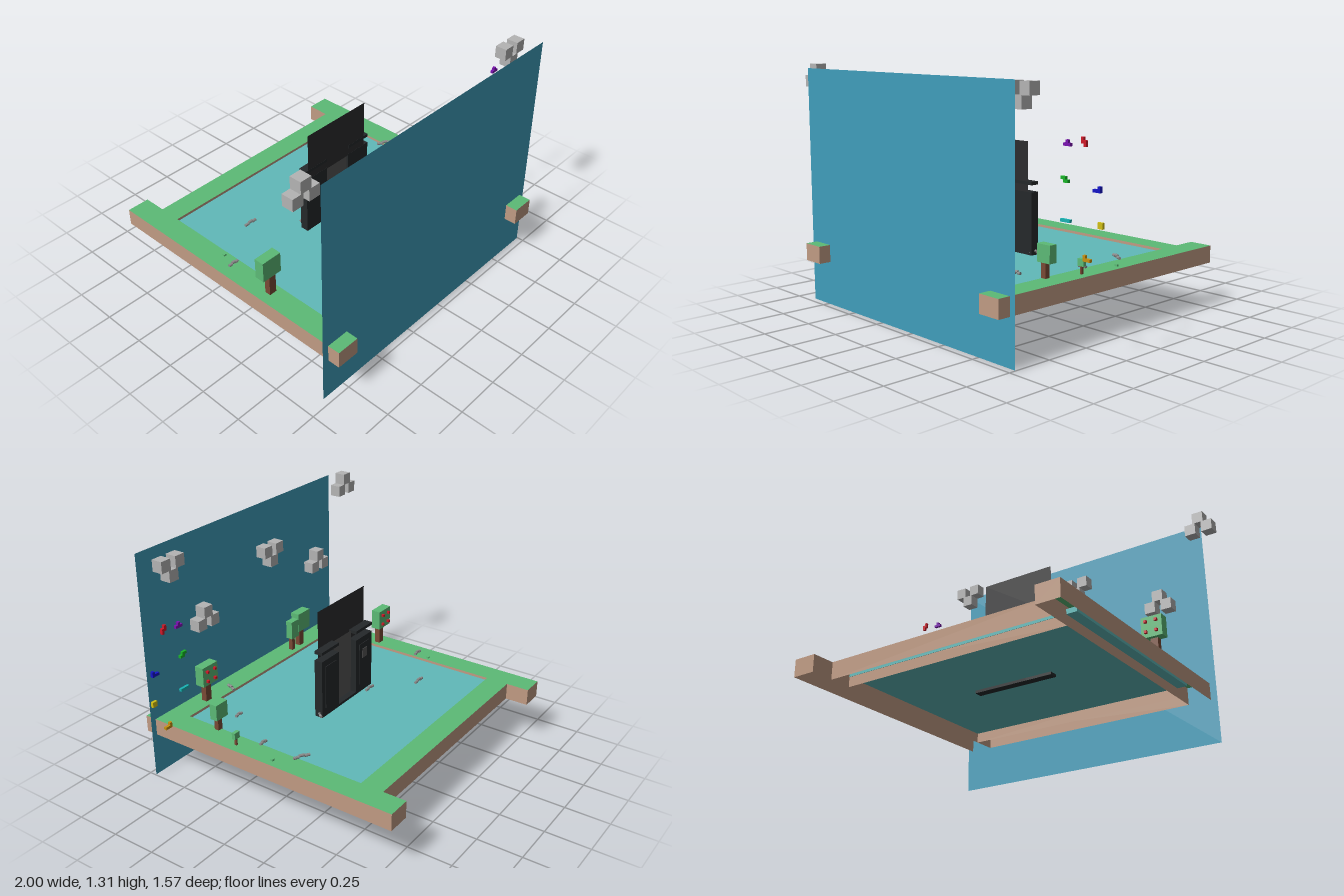
import * as THREE from 'three';

const mat = (color, double = false) => new THREE.MeshStandardMaterial({
  color, flatShading: true, side: double ? THREE.DoubleSide : THREE.FrontSide,
});
const M = {
  grey: mat(0xb4b4b4), stone: mat(0x8c8c8c), soil: mat(0xc09b83, true), grass: mat(0x5cba76, true),
  leaf: mat(0x5cba76), bark: mat(0x7a4a35), apple: mat(0xd01828), water: mat(0x60b9b9, true),
  sky: mat(0x409ebb, true), black: mat(0x25282a), panel: mat(0x2c2c2e, true), door: mat(0x555555, true),
};

export function createModel() {
  const root = new THREE.Group();

  const group = (name, parent = root) => {
    const g = new THREE.Group();
    g.name = name;
    parent.add(g);
    return g;
  };
  // Box given by its limits along each axis
  const box = (name, m, [x0, x1], [y0, y1], [z0, z1], parent = root) => {
    const b = new THREE.Mesh(new THREE.BoxGeometry(x1 - x0, y1 - y0, z1 - z0), m);
    b.position.set((x0 + x1) / 2, (y0 + y1) / 2, (z0 + z1) / 2);
    b.name = name;
    parent.add(b);
    return b;
  };
  // Upright sheet facing z
  const sheet = (name, m, [x0, x1], [y0, y1], z, parent = root) => {
    const s = new THREE.Mesh(new THREE.PlaneGeometry(x1 - x0, y1 - y0), m);
    s.position.set((x0 + x1) / 2, (y0 + y1) / 2, z);
    s.name = name;
    parent.add(s);
  };

  // Backdrop
  sheet('skyBackdrop', M.sky, [-0.89, 0.745], [0, 1.29], 0.712);

  // Bank around the pond: hollow bars with soil sides and a grass top, open below
  const bank = (name, xs, zs) => {
    const g = group(name);
    const sides = box('soilSides', M.soil, xs, [0.24, 0.335], zs, g);
    const top = box('grassTop', M.grass, xs, [0.24, 0.335], zs, g);
    const idx = Array.from(sides.geometry.index.array);
    sides.geometry.setIndex([...idx.slice(0, 12), ...idx.slice(24)]);
    top.geometry.setIndex(idx.slice(12, 18));
    sides.geometry.clearGroups();
    top.geometry.clearGroups();
  };
  bank('rightBank', [-0.853, -0.725], [-0.785, 0.78]);
  bank('leftBank', [0.583, 0.712], [-0.785, 0.78]);
  bank('backBank', [-0.725, 0.583], [-0.655, -0.528]);
  bank('frontBank', [-0.725, 0.583], [0.583, 0.711]);

  // Pond
  box('water', M.water, [-0.78, 0.64], [0.295, 0.32], [-0.53, 0.585]);

  // Gate in the middle of the pond
  const gate = group('gate');
  for (const [x0, x1] of [[-0.305, -0.15], [0.015, 0.17]]) {
    box('pillar', M.black, [x0, x1], [0.28, 0.657], [0, 0.048], gate);
    box('pillarCap', M.black, [x0, x1], [0.695, 0.712], [0, 0.048], gate);
    box('pillarInset', M.black, [x0 + 0.03, x1 - 0.03], [0.37, 0.62], [-0.004, 0.002], gate);
  }
  box('pillarWindow', M.door, [-0.25, -0.205], [0.53, 0.585], [-0.007, 0], gate);
  box('threshold', M.black, [-0.15, 0.015], [0.28, 0.335], [0, 0.048], gate);
  sheet('door', M.door, [-0.15, 0.015], [0.33, 0.71], 0.035, gate);
  sheet('gateScreen', M.panel, [-0.29, 0.14], [0.65, 0.924], 0.047, gate);

  // Clouds: three cubes, the middle one above or below the outer two
  const cloud = (x, y, z, up) => {
    const g = group('cloud'), s = 0.063;
    [-0.049, 0, 0.049].forEach((dx, i) => {
      const dy = (i === 1) === up ? s / 2 : -s / 2;
      box('cloudCube', M.grey, [x + dx - s / 2, x + dx + s / 2],
        [y + dy - s / 2, y + dy + s / 2], [z - s / 2, z + s / 2], g);
    });
  };
  cloud(-0.92, 1.248, 0.628, true);
  cloud(-0.64, 0.84, 0.628, true);
  cloud(0.37, 0.84, 0.628, true);
  cloud(-0.14, 1.04, 0.58, false);
  cloud(0.65, 1.215, 0.58, false);

  // Trees: a 2 x 2 crown of cubes on a square trunk, some with fruit on the back
  const tree = (x, z, w, y0, y1, d, fruit) => {
    const g = group('tree'), h = (y1 - y0) / 2, t = w * 0.18;
    for (const sx of [-1, 0]) for (const sy of [0, 1]) {
      box('crown', M.leaf, [x + sx * w / 2, x + (sx + 1) * w / 2],
        [y0 + sy * h, y0 + (sy + 1) * h], [z - d / 2, z + d / 2], g);
      if (!fruit) continue;
      const ax = x + (sx + 0.5) * w / 2, ay = y0 + (sy + 0.5) * h;
      box('apple', M.apple, [ax - 0.007, ax + 0.007], [ay - 0.007, ay + 0.007],
        [z - d / 2 - 0.015, z - d / 2], g);
    }
    box('trunk', M.bark, [x - t, x + t], [0.33, y0], [z - d * 0.1, z + d * 0.5], g);
  };
  tree(-0.777, 0.241, 0.117, 0.445, 0.56, 0.056, true);
  tree(0.39, 0.622, 0.117, 0.445, 0.56, 0.056, true);
  tree(-0.465, 0.624, 0.11, 0.445, 0.56, 0.056, false);
  tree(-0.38, 0.62, 0.07, 0.42, 0.53, 0.042, false);
  tree(0.592, 0.361, 0.086, 0.41, 0.5, 0.045, false);

  // Sapling and small tufts
  const sapling = group('sapling');
  box('crown', M.leaf, [0.642, 0.68], [0.375, 0.412], [0.18, 0.2], sapling);
  box('trunk', M.bark, [0.656, 0.666], [0.33, 0.375], [0.184, 0.196], sapling);
  for (const [x, z] of [[-0.75, -0.118], [0.67, -0.055]])
    box('tuft', M.leaf, [x - 0.008, x + 0.008], [0.33, 0.345], [z - 0.006, z + 0.006]);

  // Stones: short rows of little cylinders, [x, y, z, length, turn]
  for (const [x, y, z, len, turn] of [
    [-0.475, 0.335, -0.217, 0.075, 0], [-0.245, 0.33, -0.03, 0.07, 0], [0.165, 0.335, 0.022, 0.06, 0.9],
    [0.575, 0.35, -0.165, 0.09, -0.5], [0.57, 0.34, 0.086, 0.05, 0], [0.412, 0.33, 0.384, 0.05, 0],
    [0.222, 0.345, 0.6, 0.07, 1.2], [-0.765, 0.342, -0.034, 0.06, 0],
  ]) {
    const g = group('stones');
    g.position.set(x, y, z);
    g.rotation.y = turn;
    for (const k of [-1, 0, 1]) {
      const s = new THREE.Mesh(new THREE.CylinderGeometry(0.008, 0.008, len / 3, 8), M.stone);
      s.name = 'stone';
      s.rotation.z = Math.PI / 2;
      s.position.set(k * len / 3, k === 0 ? 0.006 : 0, 0);
      g.add(s);
    }
  }

  // Floating block pieces, cells given as column,row
  const c = 0.0145;
  const piece = (color, x, y, cells) => {
    const g = group('blockPiece'), m = mat(color);
    for (const [i, j] of cells)
      box('cell', m, [x + i * c, x + (i + 1) * c], [y + j * c, y + (j + 1) * c], [0.411, 0.426], g);
  };
  piece(0x7a12b0, 0.757, 0.985, [[0, 0], [1, 0], [2, 0], [1, 1]]);
  piece(0xd01828, 0.865, 0.99, [[0, 2], [0, 1], [1, 1], [1, 0]]);
  piece(0x18b428, 0.742, 0.818, [[0, 1], [1, 1], [1, 0], [2, 0]]);
  piece(0x1414c8, 0.938, 0.795, [[0, 0], [1, 0], [2, 0], [2, 1]]);
  piece(0xd2c014, 0.968, 0.636, [[0, 0], [1, 0], [0, 1], [1, 1]]);
  piece(0x18b4b4, 0.742, 0.637, [[0, 0], [1, 0], [2, 0], [3, 0]]);
  piece(0xc89010, 0.882, 0.475, [[0, 0], [1, 0], [2, 0], [0, 1]]);

  return root;
}
